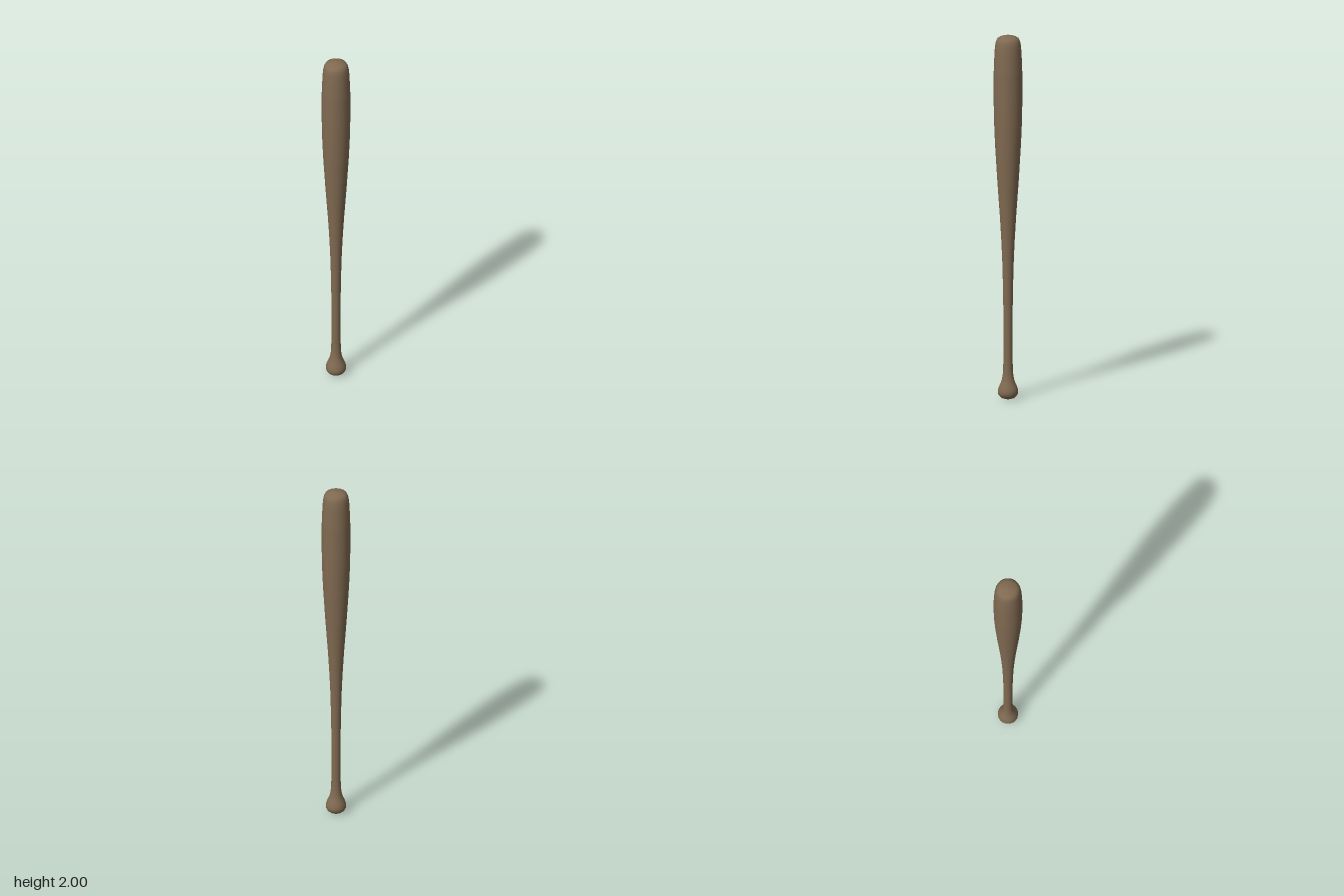
import * as THREE from 'three';

const wood = new THREE.MeshStandardMaterial({ color: 0x806a51 });
wood.name = 'wood';

// One turned section, given as [radius, height] from bottom to top
function turned(name, profile) {
  const points = profile.map(([r, y]) => new THREE.Vector2(r, y));
  const mesh = new THREE.Mesh(new THREE.LatheGeometry(points, 40), wood);
  mesh.name = name;
  return mesh;
}

export function createModel() {
  const bat = new THREE.Group();
  bat.name = 'bat';

  // Rounded knob flaring out of the grip
  bat.add(turned('knob', [
    [0, 0], [0.02, 0.002], [0.036, 0.008], [0.047, 0.018], [0.053, 0.03], [0.054, 0.042],
    [0.052, 0.055], [0.046, 0.072], [0.038, 0.09], [0.032, 0.11], [0.028, 0.135],
    [0.026, 0.165], [0.025, 0.2], [0.025, 0.22],
  ]));

  // Slim straight grip
  bat.add(turned('handle', [[0.025, 0.22], [0.025, 0.35], [0.025, 0.5]]));

  // Long taper widening into the barrel
  bat.add(turned('barrel', [
    [0.025, 0.5], [0.027, 0.62], [0.03, 0.74], [0.035, 0.86], [0.043, 1.0], [0.05, 1.1],
    [0.057, 1.2], [0.063, 1.3], [0.069, 1.4], [0.074, 1.52], [0.076, 1.62], [0.076, 1.8],
  ]));

  // Barrel end rounding over to a shallow domed tip
  bat.add(turned('barrelEnd', [
    [0.076, 1.8], [0.074, 1.86], [0.071, 1.92], [0.068, 1.95], [0.064, 1.97],
    [0.057, 1.984], [0.046, 1.991], [0.025, 1.998], [0, 2],
  ]));

  return bat;
}
